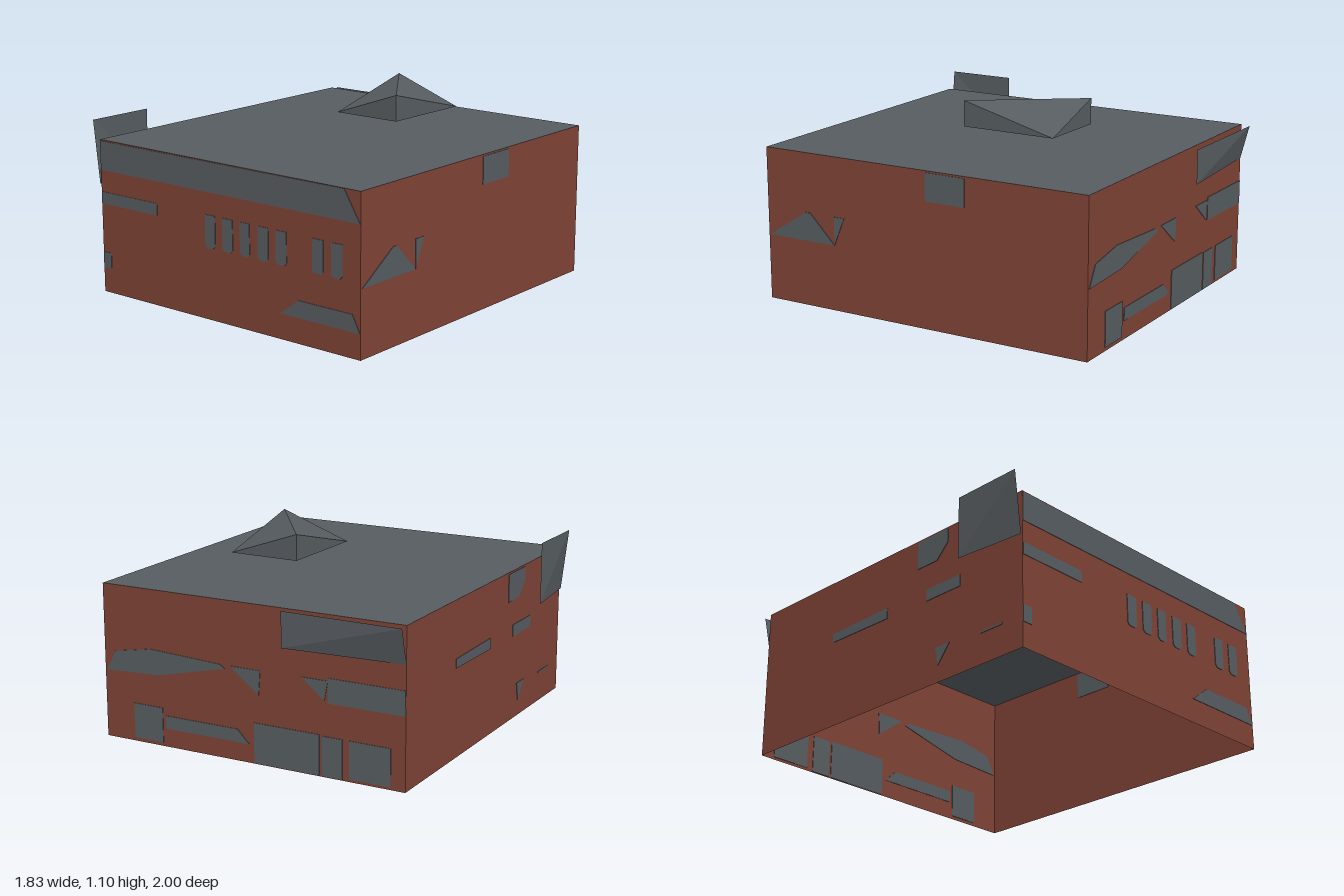
import * as THREE from 'three';

const brick = new THREE.MeshStandardMaterial({ color: 0x7e4235, side: THREE.DoubleSide, flatShading: true });
brick.name = 'brick red';
const slate = new THREE.MeshStandardMaterial({ color: 0x565c60, side: THREE.DoubleSide, flatShading: true });
slate.name = 'slate grey';

const rect = (a, b, y0, y1) => [[a, y0], [b, y0], [b, y1], [a, y1]];
// window with a clipped sill
const slot = (a, b) => [[a, 0.4], [a + 0.015, 0.385], [b - 0.015, 0.385], [b, 0.4], [b, 0.56], [a, 0.56]];

function toShape(points) {
  return new THREE.Shape(points.map(([x, y]) => new THREE.Vector2(x, y)));
}

// faceted mesh from a few corners and triangles
function faceted(name, points, faces, material) {
  const geometry = new THREE.BufferGeometry();
  geometry.setAttribute('position', new THREE.Float32BufferAttribute(points.flat(), 3));
  geometry.setIndex(faces.flat());
  const flat = geometry.toNonIndexed();
  flat.computeVertexNormals();
  const mesh = new THREE.Mesh(flat, material);
  mesh.name = name;
  return mesh;
}

// wall running from p to q ([x, y, z] roof corners); pane outlines use the world x or z along it
function makeWall(name, p, q, axis, panes) {
  const dx = q[0] - p[0], dz = q[2] - p[2], length = Math.hypot(dx, dz);
  const group = new THREE.Group();
  group.name = name;
  group.position.set(p[0], 0, p[2]);
  group.rotation.y = Math.atan2(-dz, dx);

  const outline = [[0, 0], [length, 0], [length, q[1]], [0, p[1]]];
  const wall = new THREE.Mesh(new THREE.ShapeGeometry(toShape(outline)), brick);
  wall.name = name + 'Brickwork';
  group.add(wall);

  panes.forEach((pane, i) => {
    const local = pane.map(([c, y]) => [Math.abs(c - p[axis]), y]);
    const geometry = new THREE.ExtrudeGeometry(toShape(local), { depth: 0.006, bevelEnabled: false });
    geometry.translate(0, 0, -0.003);
    const mesh = new THREE.Mesh(geometry, slate);
    mesh.name = name + 'Window' + (i + 1);
    group.add(mesh);
  });
  return group;
}

export function createModel() {
  const model = new THREE.Group();
  model.name = 'building';

  // roof corners
  const frontLeft = [-0.87, 0.845, 0.995], frontRight = [0.91, 0.84, 0.98];
  const backRight = [0.89, 0.84, -0.965], backLeft = [-0.89, 0.845, -0.95];
  model.add(faceted('roof', [frontLeft, frontRight, backRight, backLeft], [[0, 1, 2], [0, 2, 3]], slate));

  const slots = [[-0.105, -0.035], [0.015, 0.085], [0.135, 0.2], [0.255, 0.325],
    [0.375, 0.445], [0.61, 0.68], [0.73, 0.8]].map(([a, b]) => slot(a, b));

  model.add(makeWall('frontWall', frontLeft, frontRight, 0, [
    [[-0.868, 0.68], [0.908, 0.68], [0.81, 0.838], [-0.868, 0.838]],
    rect(-0.868, -0.45, 0.495, 0.56),
    ...slots,
    rect(-0.868, -0.81, 0.135, 0.225),
    [[0.4, 0.135], [0.908, 0.135], [0.86, 0.225], [0.52, 0.225]],
  ]));

  model.add(makeWall('rightWall', frontRight, backRight, 2, [
    rect(-0.03, -0.265, 0.68, 0.83),
    [[0.97, 0.36], [0.545, 0.36], [0.7, 0.515], [0.73, 0.515]],
    [[0.545, 0.36], [0.48, 0.515], [0.545, 0.515]],
  ]));

  model.add(makeWall('backWall', backRight, backLeft, 0, [
    [[0.88, 0.37], [0.55, 0.385], [0.14, 0.48], [0.17, 0.5], [0.6, 0.52], [0.82, 0.48]],
    [[0.11, 0.5], [-0.06, 0.37], [-0.07, 0.5]],
    [[-0.31, 0.505], [-0.44, 0.4], [-0.46, 0.505]],
    rect(-0.46, -0.888, 0.39, 0.52),
    rect(0.71, 0.53, 0.02, 0.21),
    [[0.51, 0.1], [0, 0.1], [0.07, 0.17], [0.51, 0.17]],
    rect(-0.03, -0.41, 0.005, 0.22),
    rect(-0.425, -0.54, 0.005, 0.215),
    rect(-0.58, -0.81, 0.015, 0.215),
  ]));

  model.add(makeWall('leftWall', backLeft, frontLeft, 2, [
    [[-0.39, 0.485], [0.035, 0.48], [0.035, 0.54], [-0.39, 0.535]],
    [[0.26, 0.68], [0.4, 0.68], [0.48, 0.76], [0.48, 0.835], [0.26, 0.835]],
    rect(0.33, 0.57, 0.475, 0.54),
    [[0.4, 0.19], [0.42, 0.09], [0.5, 0.19]],
    rect(0.71, 0.86, 0.165, 0.175),
  ]));

  // raised roof light: low base with two opposite high corners
  model.add(faceted('roofLight', [
    [0, 0.96, 0.06], [0.4, 0.96, 0.06], [0.4, 0.96, -0.48], [0, 0.96, -0.48],
    [0.4, 1.1, 0.06], [0, 1.1, -0.48],
  ], [[0, 1, 4], [1, 2, 4], [2, 3, 5], [3, 0, 5], [0, 4, 5], [4, 2, 5], [0, 2, 1], [0, 3, 2]], slate));

  // twisted sign boards near the two left corners
  model.add(faceted('backBoard', [
    [-0.22, 0.84, -1], [-0.22, 0.65, -1], [-0.89, 0.65, -0.95], [-0.89, 0.84, -1],
  ], [[0, 1, 3], [1, 2, 3]], slate));
  model.add(faceted('leftBoard', [
    [-0.92, 0.945, 0.6], [-0.92, 0.6, 0.6], [-0.88, 0.6, 0.995], [-0.92, 0.945, 0.995],
  ], [[0, 1, 3], [1, 2, 3]], slate));

  return model;
}
